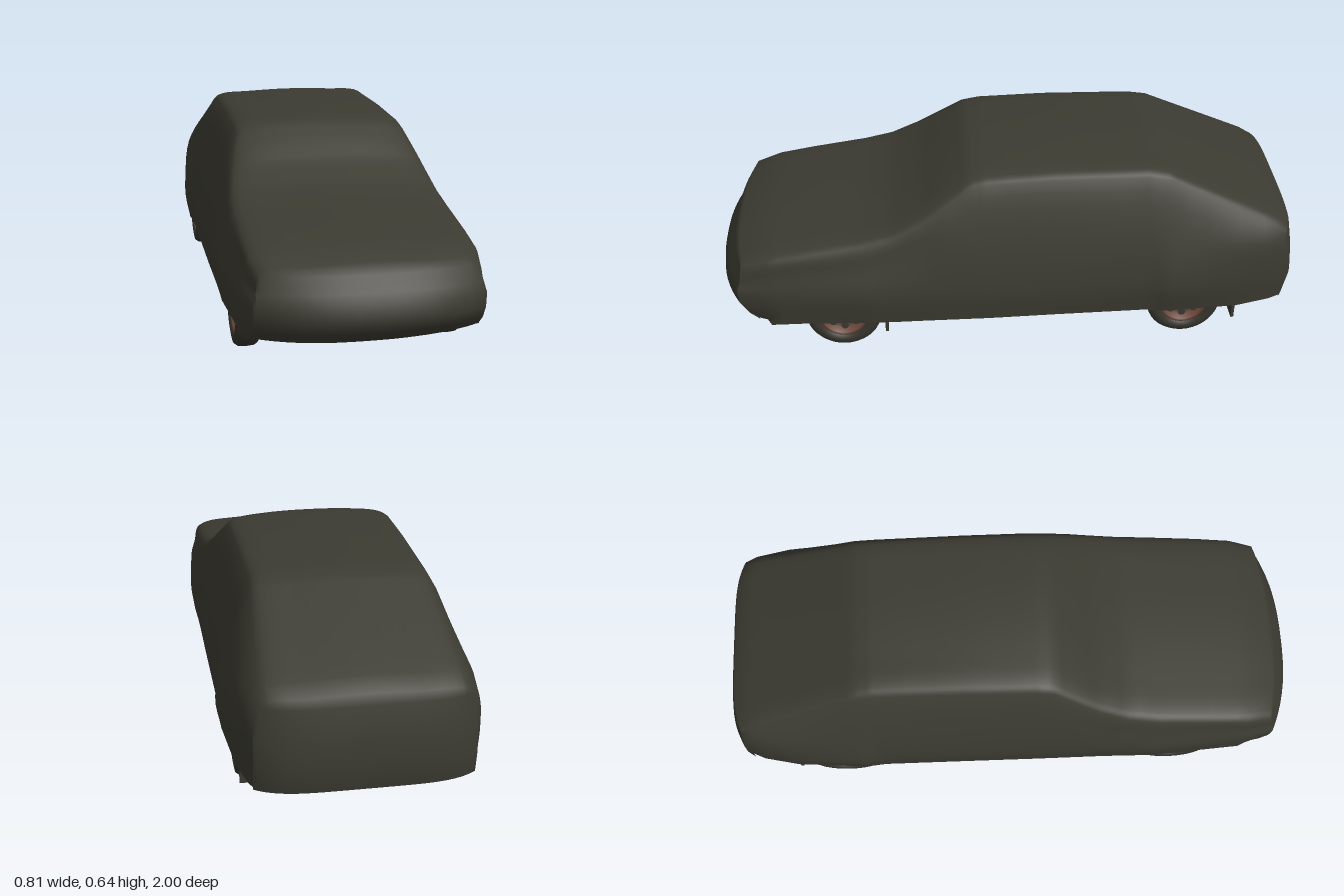
import * as THREE from 'three';
import { mergeVertices } from 'three/addons/utils/BufferGeometryUtils.js';

const mat = (name, color, extra = {}) => Object.assign(new THREE.MeshStandardMaterial({ color, ...extra }), { name });

// Cover stations: z, hemY, hemW, beltW, shoulderW, shoulderY, topW, edgeY, crownY (half widths)
const STATIONS = [
  [-0.96, 0.125, 0.325, 0.337, 0.334, 0.33, 0.305, 0.412, 0.424],
  [-0.90, 0.125, 0.345, 0.357, 0.350, 0.36, 0.305, 0.440, 0.454],
  [-0.78, 0.12, 0.370, 0.382, 0.365, 0.38, 0.295, 0.497, 0.510],
  [-0.60, 0.125, 0.385, 0.402, 0.365, 0.40, 0.28, 0.582, 0.594],
  [-0.53, 0.125, 0.390, 0.407, 0.365, 0.41, 0.275, 0.615, 0.627],
  [-0.46, 0.13, 0.385, 0.393, 0.360, 0.42, 0.272, 0.627, 0.639],
  [-0.15, 0.125, 0.385, 0.392, 0.355, 0.43, 0.275, 0.630, 0.646],
  [0.08, 0.12, 0.385, 0.392, 0.355, 0.43, 0.278, 0.622, 0.640],
  [0.14, 0.12, 0.385, 0.392, 0.356, 0.43, 0.280, 0.610, 0.630],
  [0.22, 0.12, 0.385, 0.392, 0.360, 0.41, 0.300, 0.556, 0.578],
  [0.30, 0.12, 0.385, 0.393, 0.362, 0.38, 0.318, 0.502, 0.520],
  [0.40, 0.12, 0.386, 0.397, 0.367, 0.36, 0.332, 0.450, 0.467],
  [0.50, 0.125, 0.390, 0.402, 0.375, 0.33, 0.338, 0.424, 0.440],
  [0.70, 0.12, 0.375, 0.386, 0.365, 0.32, 0.338, 0.394, 0.411],
  [0.82, 0.112, 0.365, 0.375, 0.359, 0.30, 0.335, 0.374, 0.390],
  [0.93, 0.115, 0.338, 0.352, 0.342, 0.28, 0.320, 0.350, 0.362],
];
const ACROSS = 48;

// Smooth arc over the car, from the +x hem to the -x hem
function arc([, hemY, hemW, beltW, shW, shY, topW, edgeY, crownY]) {
  const half = [
    [hemW, hemY], [beltW, 0.24], [shW, shY], [topW + 0.012, edgeY - 0.02],
    [topW - 0.018, edgeY], [topW * 0.55, crownY - 0.005],
  ];
  const points = [...half, [0, crownY], ...half.map(([x, y]) => [-x, y]).reverse()];
  const curve = new THREE.CatmullRomCurve3(points.map(([x, y]) => new THREE.Vector3(x, y, 0)));
  return Array.from({ length: ACROSS + 1 }, (_, i) => curve.getPoint(i / ACROSS));
}

// Linear lookup in a list of [y, z] pairs, y falling
function profile(list, y) {
  if (y >= list[0][0]) return list[0][1];
  for (let i = 1; i < list.length; i++) {
    const [y0, z0] = list[i - 1], [y1, z1] = list[i];
    if (y >= y1) return z0 + (z1 - z0) * (y0 - y) / (y0 - y1);
  }
  return list[list.length - 1][1];
}
const NOSE = [[0.362, 0.925], [0.33, 0.948], [0.28, 0.97], [0.25, 0.993], [0.2, 1.0], [0.16, 0.975], [0.125, 0.935], [0.09, 0.85]];
const TAIL = [[0.424, -0.96], [0.39, -0.973], [0.3, -0.99], [0.2, -1.0], [0.125, -0.985]];

// End rows sweep the end arc down the face. Bow rounds the corners in plan, from
// bowTop at the upper edge to bowLow at bumper height; the hem rises by lift at the corners.
function endRows(station, face, sign, bowTop, bowLow, power, lift) {
  const heights = [1, ...face.slice(1).map(([y]) => y)];
  return heights.map(h => arc(station).map(p => {
    const side = Math.abs(p.x) / 0.33;
    const y = Math.min(p.y, Math.max(h, face[face.length - 1][0] + lift * side ** 2));
    const bow = THREE.MathUtils.mapLinear(THREE.MathUtils.clamp(y, 0.2, 0.36), 0.36, 0.2, bowTop, bowLow);
    return new THREE.Vector3(p.x, y, profile(face, y) - sign * bow * side ** power);
  }));
}

function coverGeometry() {
  // Interpolate the stations along the car
  const middle = [];
  for (let i = 1; i < STATIONS.length - 2; i++) {
    for (let s = 0; s < 3; s++) {
      const st = STATIONS[i].map((v, k) => THREE.MathUtils.lerp(v, STATIONS[i + 1][k], s / 3));
      middle.push(arc(st).map(p => p.setZ(st[0])));
    }
  }
  const last = STATIONS[STATIONS.length - 2];
  middle.push(arc(last).map(p => p.setZ(last[0])));
  const rows = [
    ...endRows(STATIONS[0], TAIL, -1, 0.04, 0.045, 5, 0).reverse(),
    ...middle,
    ...endRows(STATIONS[STATIONS.length - 1], NOSE, 1, 0.035, 0.07, 2.5, 0.035),
  ];
  const index = [], n = ACROSS + 1;
  for (let r = 0; r < rows.length - 1; r++) {
    for (let c = 0; c < ACROSS; c++) {
      const a = r * n + c, b = a + 1, d = a + n, e = d + 1;
      index.push(a, b, d, b, e, d);
    }
  }
  const g = new THREE.BufferGeometry();
  g.setAttribute('position', new THREE.Float32BufferAttribute(rows.flat().flatMap(p => [p.x, p.y, p.z]), 3));
  g.setIndex(index);
  const merged = mergeVertices(g, 1e-4);
  merged.computeVertexNormals();
  return merged;
}

export function createModel() {
  const car = new THREE.Group();
  car.name = 'coveredCar';
  const cover = mat('coverCloth', 0x3c3b32, { side: THREE.DoubleSide });
  const rubber = mat('tyreRubber', 0x36352d);
  const rust = mat('rustyMetal', 0x6c473a);
  const frame = mat('chassisGrey', 0x3a3931);

  const add = (parent, name, geometry, material, x = 0, y = 0, z = 0) => {
    const m = new THREE.Mesh(geometry, material);
    m.name = name;
    m.position.set(x, y, z);
    parent.add(m);
    return m;
  };
  const box = (name, material, w, h, d, x, y, z) => add(car, name, new THREE.BoxGeometry(w, h, d), material, x, y, z);
  const tube = (name, material, pts, r) => add(car, name, new THREE.TubeGeometry(
    new THREE.CatmullRomCurve3(pts.map(p => new THREE.Vector3(...p))), 40, r, 8), material);
  const lathe = pts => new THREE.LatheGeometry(pts.map(p => new THREE.Vector2(...p)), 36);

  add(car, 'clothCover', coverGeometry(), cover);

  // Wheels: axis along x, outer face at local +y
  const tyre = lathe([[0.08, -0.034], [0.1, -0.039], [0.118, -0.036], [0.126, -0.025], [0.128, 0],
    [0.126, 0.025], [0.118, 0.036], [0.1, 0.039], [0.083, 0.034], [0.08, 0.015]]);
  const rim = lathe([[0, -0.02], [0.08, -0.034], [0.084, 0.034], [0.074, 0.033], [0.068, 0.012],
    [0.045, 0.016], [0.035, 0.026], [0.018, 0.028], [0, 0.028]]);
  const slot = new THREE.CylinderGeometry(0.013, 0.013, 0.008, 10);
  const hub = new THREE.CylinderGeometry(0.018, 0.022, 0.012, 16);
  const drum = new THREE.CylinderGeometry(0.06, 0.06, 0.02, 24);
  for (const side of [1, -1]) {
    for (const [place, z] of [['front', 0.575], ['rear', -0.6]]) {
      const wheel = new THREE.Group();
      wheel.name = place + 'Wheel';
      wheel.position.set(side * 0.327 - 0.004, 0.131, z);
      wheel.rotation.z = -side * Math.PI / 2;
      add(wheel, 'tyre', tyre, rubber);
      add(wheel, 'rim', rim, rust);
      add(wheel, 'hub', hub, frame, 0, 0.028, 0);
      add(wheel, 'brakeDrum', drum, frame, 0, -0.035, 0);
      for (let i = 0; i < 8; i++) {
        const a = i * Math.PI / 4;
        add(wheel, 'rimSlot', slot, frame, 0.056 * Math.cos(a), 0.013, 0.056 * Math.sin(a));
      }
      car.add(wheel);
      // Mud flap behind each wheel
      box(place + 'MudFlap', frame, 0.125, 0.085, 0.01, side * 0.298, 0.103, place === 'front' ? 0.43 : -0.775);
    }
    // Sills and lengthwise rails
    box('sill', rust, 0.012, 0.02, 0.78, side * 0.358, 0.125, -0.02);
    box('jackingRail', frame, 0.03, 0.02, 0.37, side * 0.335, 0.114, 0.215);
    box('floorRail', frame, 0.04, 0.016, 0.62, side * 0.2, 0.118, 0.03);
    box('frontRail', frame, 0.035, 0.03, 0.4, side * 0.2, 0.125, 0.62);
    box('trailingArm', frame, 0.035, 0.03, 0.3, side * 0.24, 0.12, -0.46);
    box('rearRail', frame, 0.03, 0.02, 0.24, side * 0.22, 0.137, -0.8);
    box('steeringArm', rust, 0.1, 0.012, 0.02, side * 0.25, 0.11, 0.53);
  }

  // Rust patches under the floor: x, z, radius across, radius along
  for (const [x, z, rx, rz] of [[-0.28, 0.3, 0.05, 0.08], [-0.29, 0.1, 0.045, 0.09], [-0.26, -0.16, 0.04, 0.06],
    [0.05, -0.82, 0.1, 0.06]]) {
    const patch = add(car, 'rustPatch', new THREE.CylinderGeometry(1, 1, 0.006, 14), rust, x, 0.126, z);
    patch.scale.set(rx, 1, rz);
  }

  // Floor panels, kept clear of the wheels and inside the hem
  box('centreFloor', frame, 0.54, 0.02, 1.66, 0, 0.14, -0.03);
  box('cabinFloor', frame, 0.73, 0.02, 0.82, 0, 0.137, -0.01);
  box('bootFloor', frame, 0.62, 0.02, 0.18, 0, 0.142, -0.85);

  // Axles, engine sump and cross members
  for (const [name, z] of [['frontAxle', 0.575], ['rearAxle', -0.6]]) {
    const axle = add(car, name, new THREE.CylinderGeometry(0.017, 0.017, 0.62, 12), frame, 0, 0.125, z);
    axle.rotation.z = Math.PI / 2;
  }
  box('engineSump', frame, 0.17, 0.04, 0.22, 0, 0.122, 0.62);
  box('gearbox', frame, 0.11, 0.036, 0.2, 0, 0.124, 0.42);
  for (const z of [0.74, 0.46, -0.44, -0.7]) box('crossMember', frame, 0.44, 0.02, 0.04, 0, 0.12, z);
  box('frontSkirt', frame, 0.42, 0.035, 0.012, 0, 0.103, 0.77);

  // Exhaust with two silencers
  tube('exhaustPipe', rust, [[0.17, 0.118, 0.62], [0.13, 0.114, 0.4], [0.07, 0.114, 0.2], [0.03, 0.115, 0],
    [-0.01, 0.116, -0.22], [0.05, 0.116, -0.32], [0.16, 0.117, -0.46], [0.19, 0.118, -0.62], [0.22, 0.128, -0.94]], 0.01);
  const middle = add(car, 'middleSilencer', new THREE.CylinderGeometry(0.019, 0.019, 0.2, 14), rust, 0.045, 0.116, 0.06);
  middle.rotation.set(Math.PI / 2, 0, -0.2);
  const rear = add(car, 'rearSilencer', new THREE.CylinderGeometry(0.026, 0.026, 0.2, 14), rust, 0.21, 0.131, -0.83);
  rear.rotation.x = Math.PI / 2;

  return car;
}
